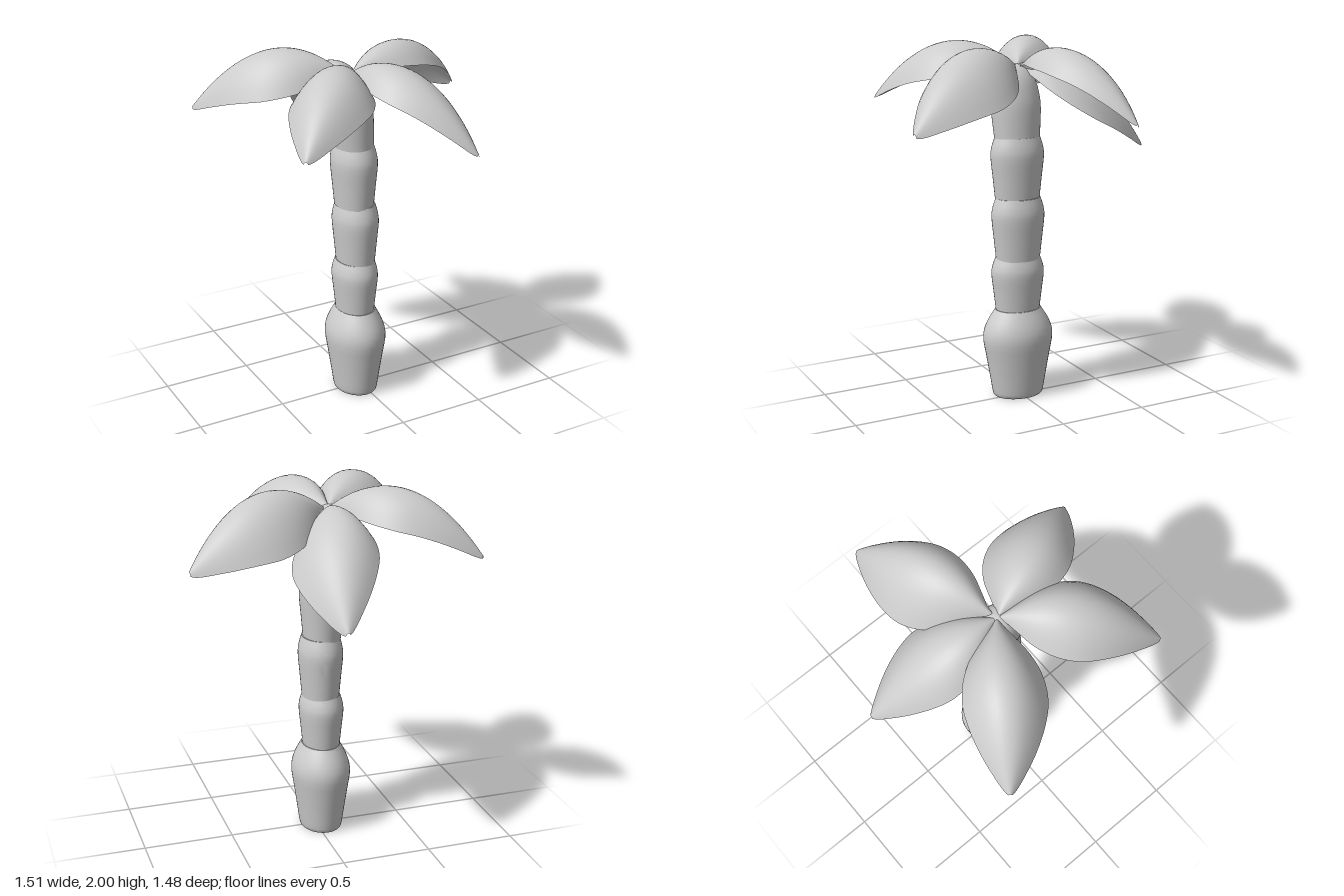
import * as THREE from 'three';
import { toCreasedNormals } from 'three/addons/utils/BufferGeometryUtils.js';

const material = new THREE.MeshStandardMaterial({ color: 0xcccccc });
const leafMaterial = new THREE.MeshStandardMaterial({ color: 0xcccccc, side: THREE.DoubleSide });

// Capped trunk piece, oval in plan; lean shifts its top along x
function trunkSegment(name, x, lean, profile) {
  const side = new THREE.SplineCurve(profile.map(p => new THREE.Vector2(...p))).getPoints(16);
  const y0 = side[0].y, y1 = side[side.length - 1].y;
  const points = [new THREE.Vector2(0, y0), ...side, new THREE.Vector2(0, y1)];
  const geometry = new THREE.LatheGeometry(points, 40);
  const pos = geometry.attributes.position;
  for (let i = 0; i < pos.count; i++) {
    const k = (pos.getY(i) - y0) / (y1 - y0);
    pos.setX(i, pos.getX(i) * 0.8 + x + lean * k);
  }
  const mesh = new THREE.Mesh(toCreasedNormals(geometry, 0.7), material);
  mesh.name = name;
  return mesh;
}

// Half width of a leaf along its length
const outline = new THREE.SplineCurve([
  [0, 0.01], [0.05, 0.03], [0.12, 0.08], [0.23, 0.152], [0.36, 0.2], [0.5, 0.213],
  [0.64, 0.187], [0.78, 0.137], [0.9, 0.077], [0.97, 0.035], [1, 0.011],
].map(p => new THREE.Vector2(...p)));

// Arched leaf whose edges hang down by droop, tilted by roll
function leaf(name, { base, tip, arch, droop, roll, width = 1, bow = 0 }) {
  const rows = 40, cols = 16, positions = [], indices = [];
  const a = new THREE.Vector3(...base), b = new THREE.Vector3(...tip);
  const across = new THREE.Vector3(b.z - a.z, 0, a.x - b.x).normalize();
  const p = new THREE.Vector3();
  for (let i = 0; i <= rows; i++) {
    const { x: t, y: w } = outline.getPoint(i / rows);
    const bulge = 4 * t * (1 - t);
    const fall = (w / 0.213) ** 0.9;
    for (let j = 0; j <= cols; j++) {
      const s = (j / cols) * 2 - 1;
      p.lerpVectors(a, b, t).addScaledVector(across, s * w * width + bow * bulge);
      p.y += arch * bulge - fall * (droop * Math.abs(s) ** 2.2 + roll * s);
      positions.push(p.x, p.y, p.z);
      if (i < rows && j < cols) {
        const k = i * (cols + 1) + j, n = k + cols + 1;
        indices.push(k, n, k + 1, k + 1, n, n + 1);
      }
    }
  }
  const geometry = new THREE.BufferGeometry();
  geometry.setAttribute('position', new THREE.Float32BufferAttribute(positions, 3));
  geometry.setIndex(indices);
  geometry.computeVertexNormals();
  const mesh = new THREE.Mesh(geometry, leafMaterial);
  mesh.name = name;
  return mesh;
}

export function createModel() {
  const model = new THREE.Group();
  model.name = 'palmTree';

  // Trunk: wide foot, three stacked bulges, rounded crown
  const trunk = new THREE.Group();
  trunk.name = 'trunk';
  trunk.add(trunkSegment('trunkFoot', -0.03, 0,
    [[0.14, 0], [0.149, 0.015], [0.167, 0.12], [0.188, 0.24], [0.205, 0.35], [0.183, 0.43], [0.133, 0.51]]));
  [[0.5, 0.81, -0.032], [0.8, 1.15, -0.028], [1.14, 1.49, -0.036]].forEach(([y0, y1, x], i) => {
    const h = y1 - y0;
    trunk.add(trunkSegment('trunkSegment' + (i + 1), x, 0, [
      [0.128, y0], [0.141, y0 + h * 0.35], [0.153, y0 + h * 0.68],
      [0.147, y0 + h * 0.84], [0.128, y1]]));
  });
  trunk.add(trunkSegment('trunkCrown', -0.038, -0.035,
    [[0.13, 1.48], [0.141, 1.62], [0.139, 1.7], [0.115, 1.8], [0.07, 1.86], [0.02, 1.88]]));
  model.add(trunk);

  // Five leaves fanning out from the crown
  const leaves = new THREE.Group();
  leaves.name = 'leaves';
  leaves.add(
    leaf('backLeaf', { base: [-0.07, 1.87, -0.01], tip: [0.07, 1.41, -0.735], arch: 0.19, droop: 0.18, roll: -0.05, width: 1.05, bow: -0.01 }),
    leaf('leftLeaf', { base: [-0.04, 1.87, -0.02], tip: [0.75, 1.65, -0.27], arch: 0.21, droop: 0.185, roll: 0.08, width: 0.96, bow: 0.03 }),
    leaf('frontLeftLeaf', { base: [-0.07, 1.87, -0.01], tip: [0.27, 1.605, 0.735], arch: 0.22, droop: 0.185, roll: 0.07, width: 1.03, bow: 0.015 }),
    leaf('frontRightLeaf', { base: [-0.07, 1.87, -0.01], tip: [-0.62, 1.68, 0.595], arch: 0.215, droop: 0.18, roll: 0, bow: 0.02 }),
    leaf('backRightLeaf', { base: [-0.07, 1.87, -0.015], tip: [-0.75, 1.67, -0.5], arch: 0.22, droop: 0.195, roll: 0.02, width: 0.98, bow: 0.01 }),
  );
  model.add(leaves);
  return model;
}
